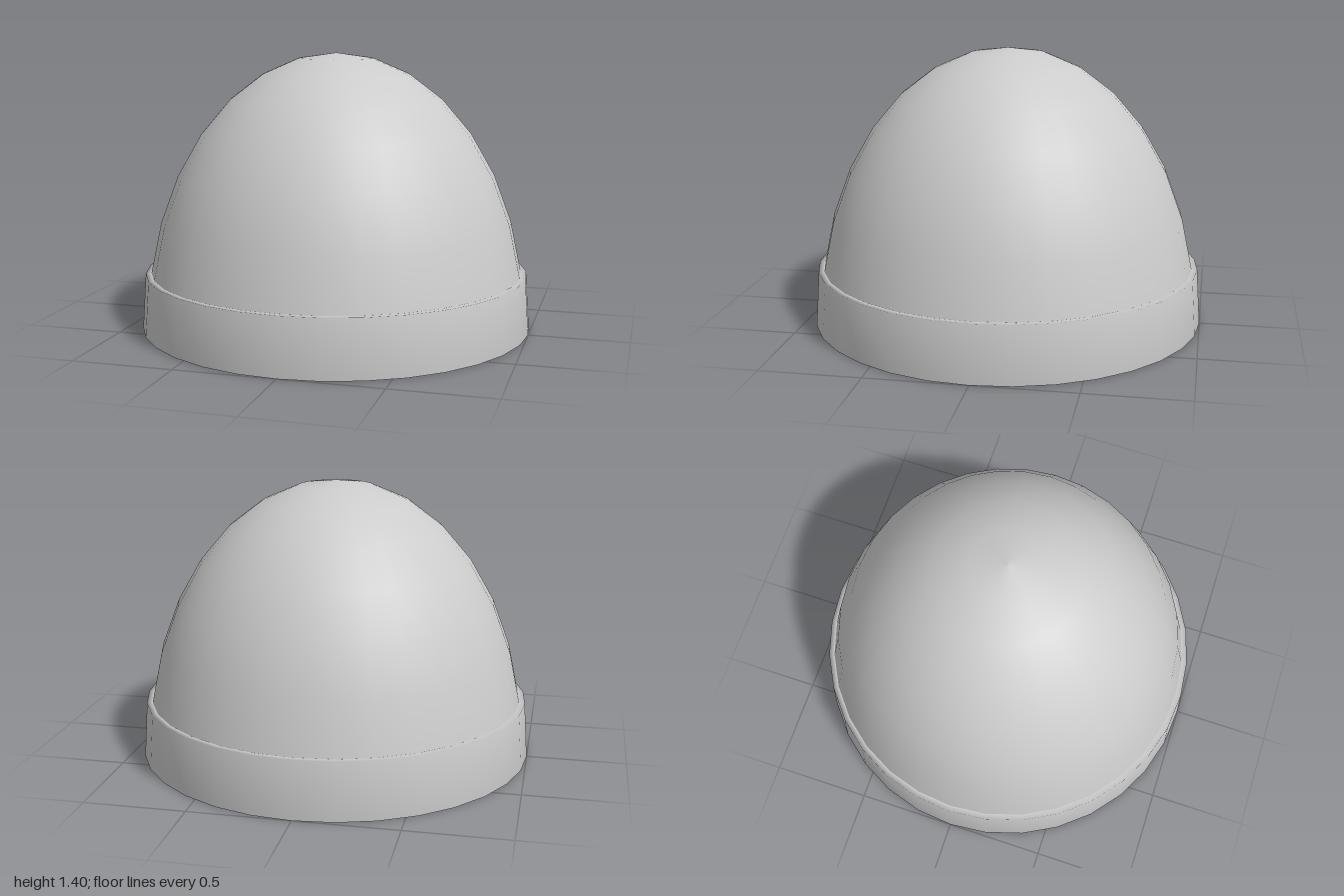
import * as THREE from 'three';

const SIDES = 32;

function lathe(name, points, material) {
  const profile = points.map(([r, y]) => new THREE.Vector2(r, y));
  const mesh = new THREE.Mesh(new THREE.LatheGeometry(profile, SIDES), material);
  mesh.name = name;
  return mesh;
}

export function createModel() {
  const group = new THREE.Group();
  group.name = 'knitCap';
  const material = new THREE.MeshStandardMaterial({ color: 0xcccccc, side: THREE.DoubleSide });

  // Crown: a tall half ellipse, open at the brim, from base to pole
  const crown = [];
  for (let i = 7; i >= 0; i--) {
    const a = (i * Math.PI) / 16;
    crown.push([0.97 * Math.sin(a), 0.014 + 1.386 * Math.cos(a)]);
  }
  group.add(lathe('crown', crown, material));

  // Folded brim: closed, slightly flared band with softly shaded edges
  const brim = [
    [0.95, 0.284], // inner top
    [0.97, 0],     // inner bottom
    [1, 0],        // outer bottom
    [0.98, 0.284], // outer top
    [0.95, 0.284],
  ];
  group.add(lathe('brim', brim, material));

  return group;
}
